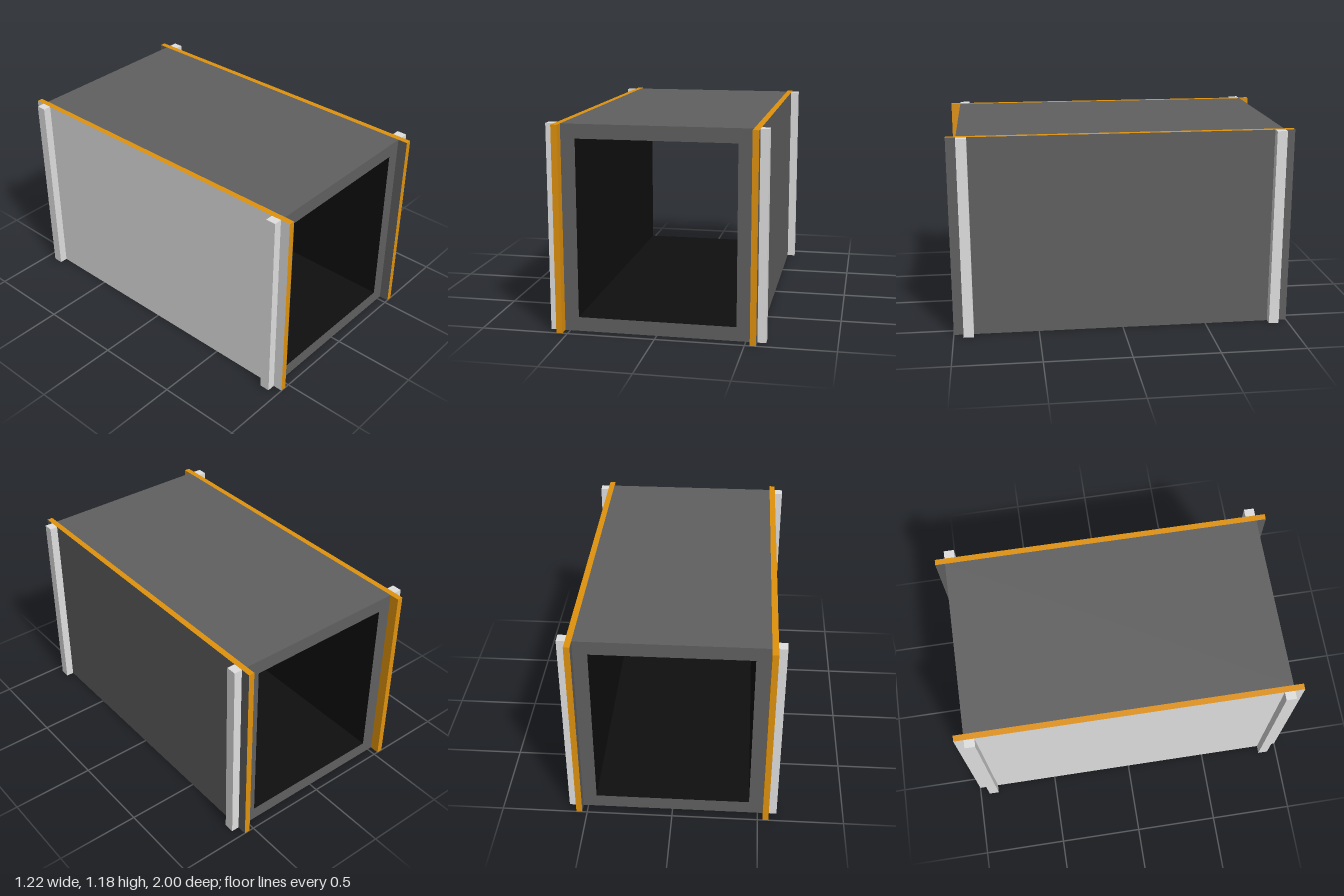
import * as THREE from 'three';

export function createModel() {
  const mat = (name, color) => {
    const m = new THREE.MeshStandardMaterial({ color });
    m.name = name;
    return m;
  };
  const grey = mat('dark grey', 0x606060);
  const black = mat('interior black', 0x0f0f0f);
  const orange = mat('orange edging', 0xe0920d);
  const light = mat('light grey', 0xe0e0e0);

  const model = new THREE.Group();
  model.name = 'openDuct';

  // Box from its bounds; a material array runs +x, -x, +y, -y, +z, -z
  const box = (name, [x0, x1], [y0, y1], [z0, z1], material) => {
    const mesh = new THREE.Mesh(new THREE.BoxGeometry(x1 - x0, y1 - y0, z1 - z0), material);
    mesh.position.set((x0 + x1) / 2, (y0 + y1) / 2, (z0 + z1) / 2);
    mesh.name = name;
    model.add(mesh);
  };

  const H = 1.178, wall = 0.081, half = 0.529, hole = 0.448, panel = 0.564, pole = 0.612;
  const bodyZ = [-0.942, 0.942];

  // Hollow body: four walls, black on the inside
  const inside = (face) => Array.from({ length: 6 }, (_, i) => (i === face ? black : grey));
  box('bodyFloor', [-half, half], [0, wall], bodyZ, inside(2));
  box('bodyRoof', [-half, half], [H - wall, H], bodyZ, inside(3));
  box('bodyLeftWall', [hole, half], [wall, H - wall], bodyZ, inside(1));
  box('bodyRightWall', [-half, -hole], [wall, H - wall], bodyZ, inside(0));

  // Side panels with orange edges
  const edges = [orange, orange, orange, orange];
  box('leftPanel', [half, panel], [0, H], [-1, 1], [grey, grey, ...edges]);
  box('rightPanel', [-panel, -half], [0, H], [-1, 1], [orange, light, ...edges]);

  // Upright battens near the four corners
  for (const z of [[0.882, 0.942], [-0.942, -0.882]]) {
    const end = z[0] > 0 ? 'front' : 'back';
    box(end + 'LeftBatten', [panel, pole], [0, H], z, light);
    box(end + 'RightBatten', [-pole, -panel], [0, H], z, light);
  }
  return model;
}
